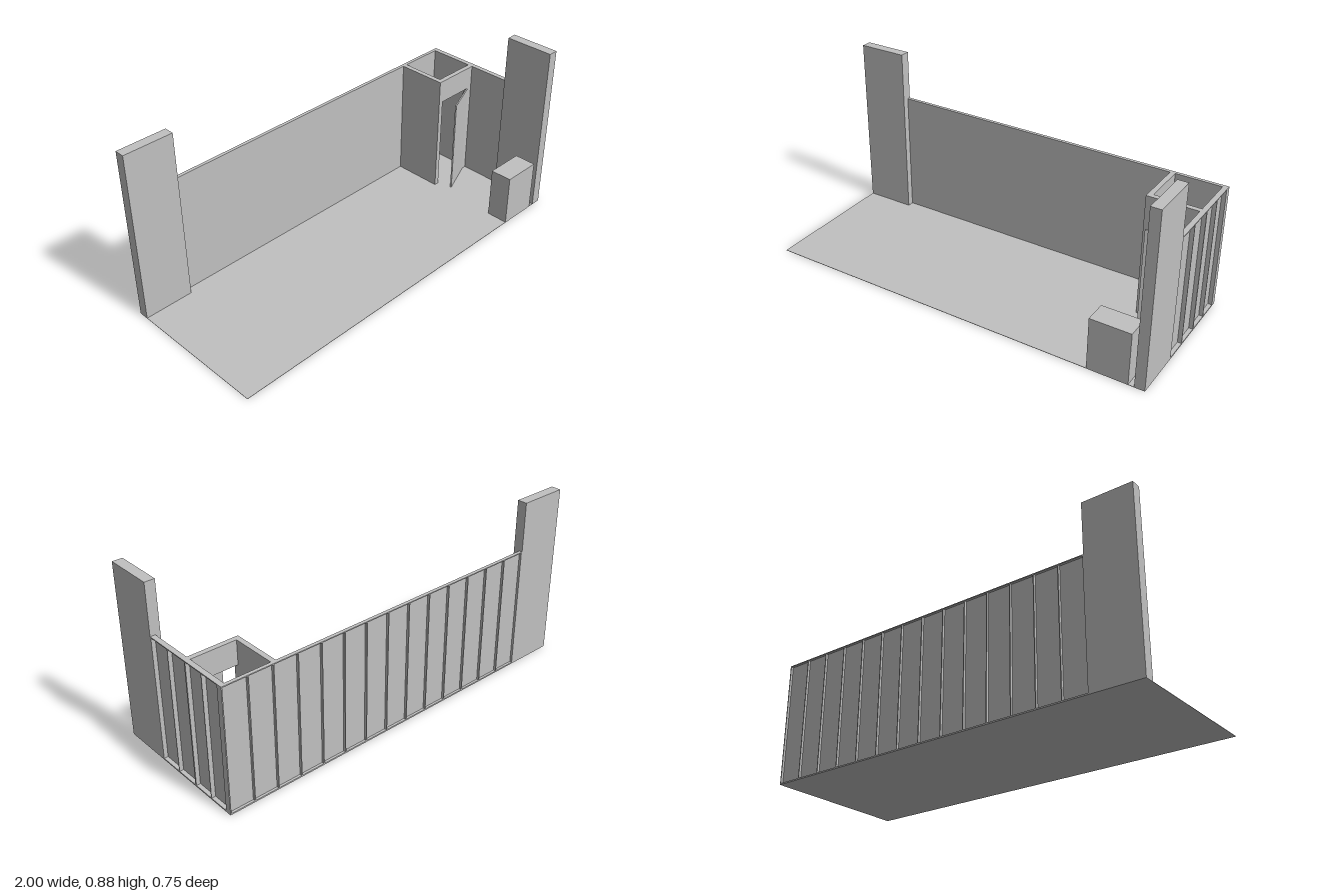
import * as THREE from 'three';

const wallGrey = new THREE.MeshStandardMaterial({ color: 0xc0c0c0 });
wallGrey.name = 'wallGrey';

// Box given by its minimum and maximum on each axis
function block(parent, name, x0, x1, y0, y1, z0, z1) {
  const mesh = new THREE.Mesh(new THREE.BoxGeometry(x1 - x0, y1 - y0, z1 - z0), wallGrey);
  mesh.position.set((x0 + x1) / 2, (y0 + y1) / 2, (z0 + z1) / 2);
  mesh.name = name;
  parent.add(mesh);
  return mesh;
}

function group(parent, name) {
  const g = new THREE.Group();
  g.name = name;
  parent.add(g);
  return g;
}

export function createModel() {
  const model = new THREE.Group();
  model.name = 'stageSet';

  const FLOOR = 0.002, TOP = 0.625, TOWER = 0.877;
  const PLATE = 0.005; // thickness of studs and plates
  const LOW = FLOOR + PLATE, HIGH = TOP - PLATE;

  block(model, 'floor', -1, 1, 0, FLOOR, -0.375, 0.375);

  // Tall end piers
  block(model, 'backPier', -1, -0.75, FLOOR, TOWER, -0.375, -0.325);
  block(model, 'sidePier', 0.95, 1, FLOOR, TOWER, 0.125, 0.375);

  // Back wall: inner sheet with studs and plates on its outer side
  const back = group(model, 'backWall');
  block(back, 'backSheet', -0.75, 0.975, FLOOR, TOP, -0.363, -0.358);
  block(back, 'backTopPlate', -0.75, 1, HIGH, TOP, -0.375, -0.363);
  block(back, 'backBottomPlate', -0.75, 1, FLOOR, LOW, -0.375, -0.363);
  for (let i = 0; i <= 14; i++) {
    const x = -0.7475 + (i * 1.745) / 14;
    block(back, 'backStud', x - 0.0025, x + 0.0025, LOW, HIGH, -0.375, -0.363);
  }

  // Side wall, built the same way
  const side = group(model, 'sideWall');
  block(side, 'sideSheet', 0.975, 0.98, FLOOR, TOP, -0.363, 0.125);
  block(side, 'sideTopPlate', 0.98, 1, HIGH, TOP, -0.363, 0.125);
  block(side, 'sideBottomPlate', 0.98, 1, FLOOR, LOW, -0.363, 0.125);
  const studs = [[0.12, 0.125], [-0.002, 0.002], [-0.13, -0.122], [-0.241, -0.237], [-0.363, -0.345]];
  for (const [z0, z1] of studs) block(side, 'sideStud', 0.98, 1, LOW, HIGH, z0, z1);

  // Corner closet, open at the top, with a doorway in its front wall
  const closet = group(model, 'closet');
  const DOOR_TOP = 0.505;
  block(closet, 'closetSideWall', 0.725, 0.75, FLOOR, TOP, -0.358, -0.105);
  block(closet, 'closetLintel', 0.75, 0.975, DOOR_TOP, TOP, -0.13, -0.105);
  block(closet, 'closetJamb', 0.945, 0.975, FLOOR, DOOR_TOP, -0.13, -0.105);

  // Door standing ajar, hinged on the right jamb
  const hinge = group(closet, 'doorHinge');
  hinge.position.set(0.943, 0, -0.107);
  hinge.rotation.y = Math.atan2(0.075, 0.18);
  block(hinge, 'door', -0.193, 0, FLOOR, DOOR_TOP, 0, 0.007);

  // Low counter near the front edge
  block(model, 'counter', 0.722, 0.922, FLOOR, 0.265, 0.263, 0.375);

  return model;
}
